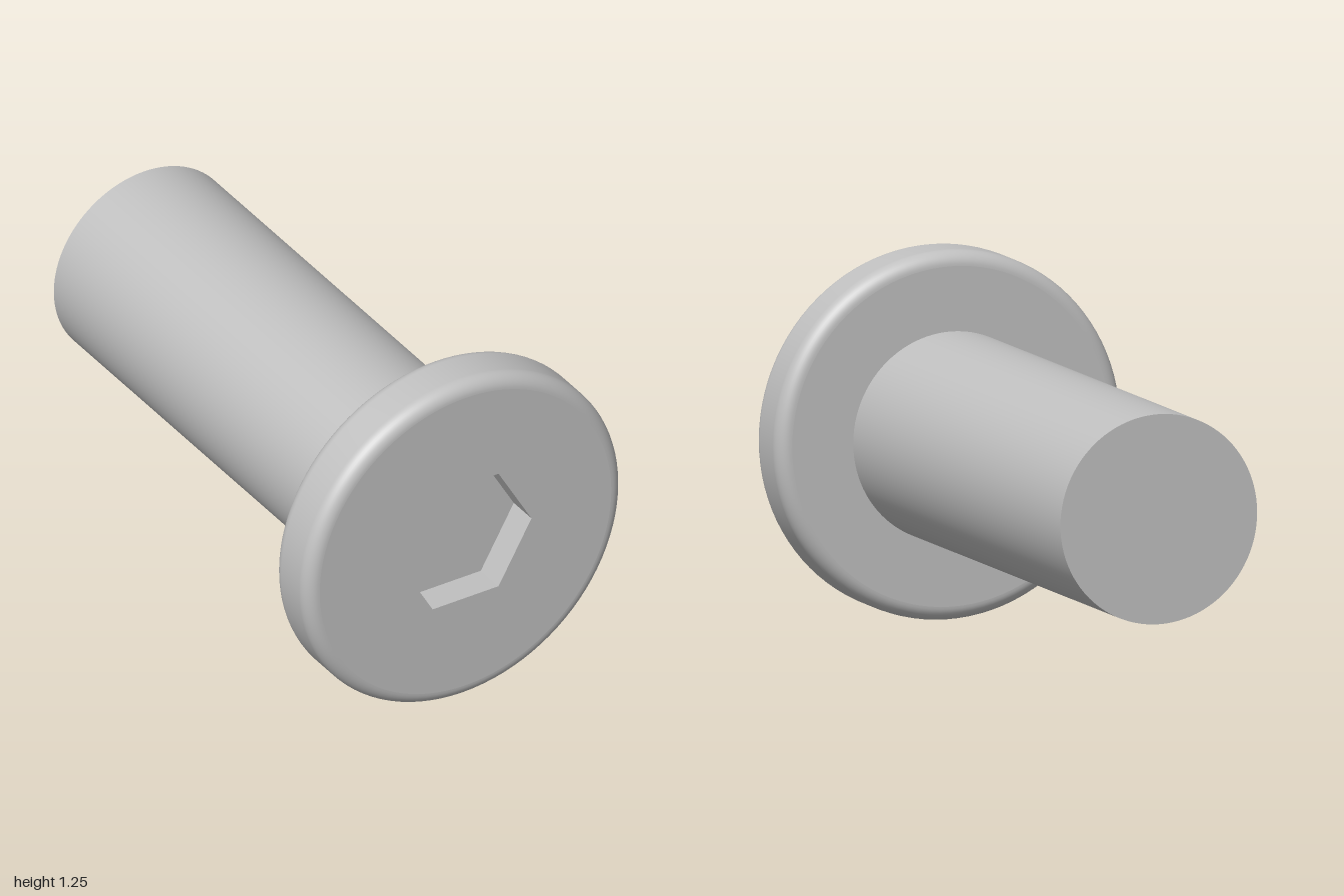
import * as THREE from 'three';
import { mergeGeometries } from 'three/addons/utils/BufferGeometryUtils.js';

const HEAD_R = 0.625, FILLET = 0.05, HEAD_BACK = 0.79, FRONT = 1, END = -1;
const SHAFT_R = 0.355, HEX_R = 0.26, HEX_DEPTH = 0.11, SEG = 96;

export function createModel() {
  const steel = new THREE.MeshStandardMaterial({ color: 0xc0c0c0 });
  steel.name = 'steel grey';

  const bolt = new THREE.Group();
  bolt.name = 'bolt';
  const add = (name, geometry) => {
    const mesh = new THREE.Mesh(geometry, steel);
    mesh.name = name;
    bolt.add(mesh);
  };

  // Rounded rim of the head, turned about the bolt's axis
  const rim = [];
  const arc = (centre, from) => {
    for (let i = 0; i <= 10; i++) {
      const a = from + (i / 10) * Math.PI / 2;
      rim.push(new THREE.Vector2(HEAD_R - FILLET + FILLET * Math.cos(a), centre + FILLET * Math.sin(a)));
    }
  };
  arc(HEAD_BACK + FILLET, -Math.PI / 2);
  arc(FRONT - FILLET, 0);
  add('headRim', new THREE.LatheGeometry(rim, SEG).rotateX(Math.PI / 2));

  // Flat front of the head with a hexagonal opening
  const face = new THREE.Shape().absarc(0, 0, HEAD_R - FILLET, 0, Math.PI * 2);
  const corners = Array.from({ length: 6 }, (_, i) =>
    new THREE.Vector2(HEX_R * Math.cos(i * Math.PI / 3), HEX_R * Math.sin(i * Math.PI / 3)));
  face.holes.push(new THREE.Path(corners));
  add('headFront', new THREE.ShapeGeometry(face, SEG).translate(0, 0, FRONT));

  // Flat underside of the head around the shaft
  add('headBack', new THREE.RingGeometry(SHAFT_R, HEAD_R - FILLET, SEG)
    .rotateY(Math.PI).translate(0, 0, HEAD_BACK));

  // Hexagonal socket: six inward walls and a floor
  const apothem = HEX_R * Math.cos(Math.PI / 6);
  const walls = corners.map((_, i) => new THREE.PlaneGeometry(HEX_R, HEX_DEPTH)
    .rotateX(Math.PI / 2)
    .translate(0, apothem, FRONT - HEX_DEPTH / 2)
    .rotateZ(i * Math.PI / 3));
  add('socketWalls', mergeGeometries(walls));
  add('socketFloor', new THREE.CircleGeometry(HEX_R, 6).translate(0, 0, FRONT - HEX_DEPTH));

  // Plain shaft with a flat end
  const length = HEAD_BACK - END;
  add('shaft', new THREE.CylinderGeometry(SHAFT_R, SHAFT_R, length, SEG, 1, true)
    .rotateX(Math.PI / 2).translate(0, 0, END + length / 2));
  add('shaftEnd', new THREE.CircleGeometry(SHAFT_R, SEG).rotateY(Math.PI).translate(0, 0, END));

  bolt.position.y = HEAD_R;
  const model = new THREE.Group();
  model.name = 'socketBolt';
  model.add(bolt);
  return model;
}
